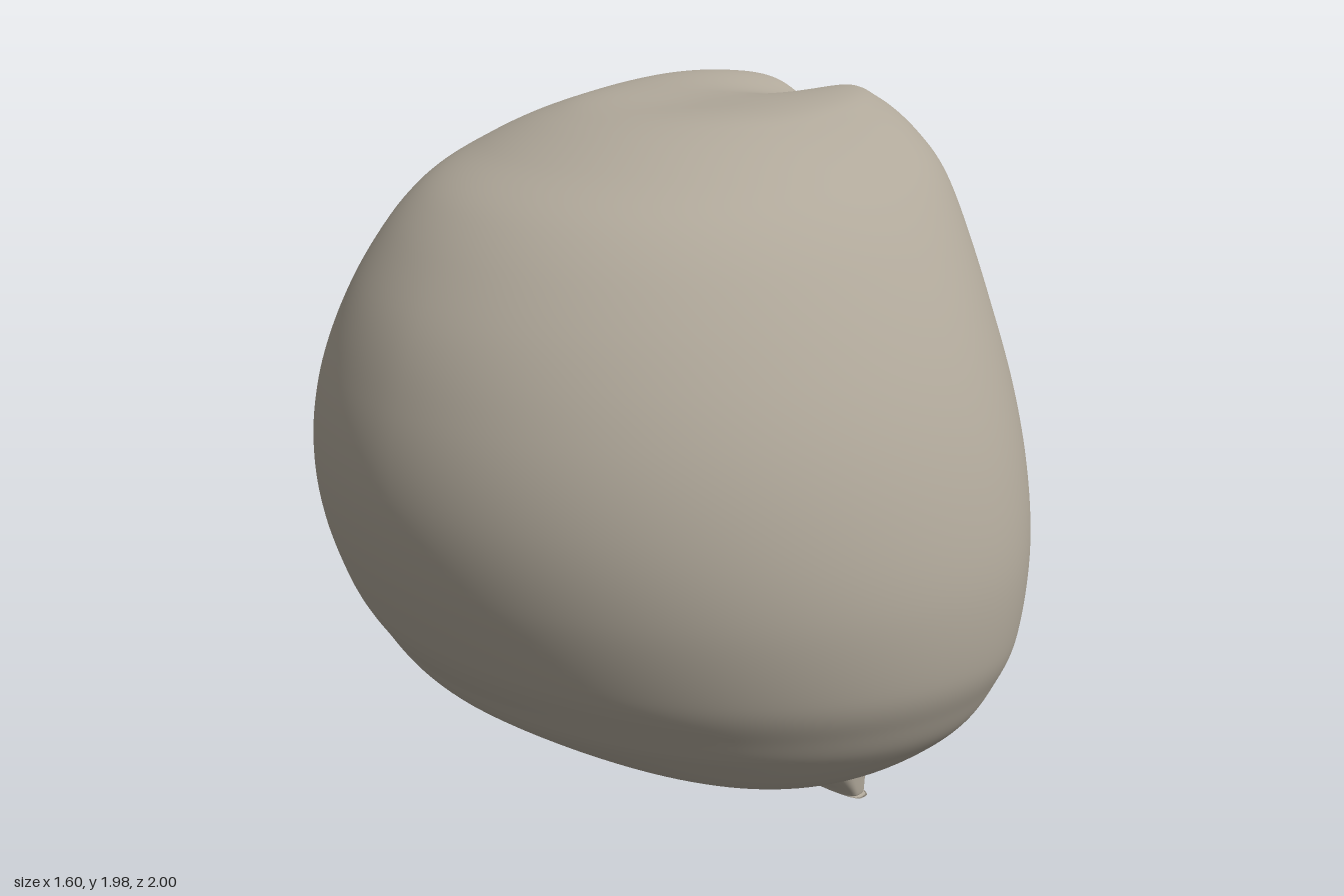
import * as THREE from 'three';

const FRONT = 200, BACK = 64, COLS = FRONT + BACK;
const bone = new THREE.MeshStandardMaterial({ color: 0xb0a89a });
const dark = new THREE.MeshStandardMaterial({ color: 0x040404, side: THREE.DoubleSide });
const smooth = THREE.MathUtils.smoothstep, lerp = THREE.MathUtils.lerp;

const cubic = (a, b, c, d, t) =>
  b + 0.5 * t * (c - a + t * (2 * a - 5 * b + 4 * c - d + t * (3 * (b - c) + d - a)));

// Skull sections, top to bottom: y, back x, front x, half width, x of widest point,
// front x of the cranium without the muzzle
const SKULL = [
  [2.012, 0.3, 0.3, 0, 0.3, 0.3],
  [2.0, 0, 0.58, 0.27, 0.28, 0.58],
  [1.967, -0.17, 0.655, 0.39, 0.25, 0.655],
  [1.9, -0.34, 0.705, 0.515, 0.22, 0.705],
  [1.8, -0.52, 0.75, 0.625, 0.2, 0.75],
  [1.6, -0.69, 0.79, 0.77, 0.17, 0.79],
  [1.4, -0.775, 0.8, 0.88, 0.15, 0.8],
  [1.2, -0.805, 0.797, 0.955, 0.15, 0.797],
  [1.0, -0.78, 0.78, 0.995, 0.15, 0.78],
  [0.8, -0.71, 0.748, 0.99, 0.15, 0.748],
  [0.68, -0.64, 0.765, 0.95, 0.15, 0.725],
  [0.58, -0.565, 0.78, 0.895, 0.15, 0.67],
  [0.48, -0.42, 0.765, 0.79, 0.15, 0.59],
  [0.415, -0.27, 0.745, 0.66, 0.17, 0.55],
  [0.365, -0.06, 0.73, 0.485, 0.26, 0.58],
  [0.31, 0.2, 0.715, 0.445, 0.38, 0.66],
  [0.26, 0.3, 0.7, 0.441, 0.45, 0.695],
  [0.21, 0.315, 0.69, 0.439, 0.47, 0.69],
  [0.18, 0.32, 0.685, 0.437, 0.47, 0.685],
  [0.168, 0.33, 0.675, 0.425, 0.47, 0.675],
  [0.165, 0.35, 0.65, 0.4, 0.47, 0.65],
  [0.165, 0.38, 0.62, 0.36, 0.48, 0.62],
  [0.165, 0.5, 0.5, 0, 0.5, 0.5],
];
const TEETH = [
  [0.22, 0.36, 0.65, 0.368, 0.5, 0.65],
  [0.16, 0.37, 0.65, 0.368, 0.5, 0.65],
  [0.09, 0.42, 0.62, 0.362, 0.51, 0.62],
  [0.03, 0.475, 0.597, 0.358, 0.53, 0.597],
  [0.015, 0.485, 0.59, 0.354, 0.535, 0.59],
  [0.012, 0.495, 0.58, 0.34, 0.54, 0.58],
  [0.012, 0.54, 0.54, 0, 0.54, 0.54],
];

// Recesses: polar radii of the opening and its rim around a centre, and a sloped floor
const EYE = {
  z: 0.32, y: 1.28,
  hole: [0.205, 0.19, 0.195, 0.22, 0.255, 0.29, 0.3, 0.26, 0.235, 0.225, 0.235, 0.25, 0.268, 0.295, 0.275, 0.24],
  rim: [0.47, 0.48, 0.51, 0.57, 0.64, 0.61, 0.38, 0.295, 0.272, 0.295, 0.345, 0.37, 0.4, 0.44, 0.47, 0.47],
  floor: (y, z) => 0.585 - 0.2 * (y - 1.2) - 0.44 * (z - 0.3),
};
const noseHole = [0.147, 0.113, 0.104, 0.118, 0.145, 0.118, 0.104, 0.113, 0.147, 0.137, 0.118, 0.108, 0.105, 0.108, 0.118, 0.137];
const NOSE = {
  z: 0, y: 0.83, hole: noseHole, rim: noseHole.map((r) => r + 0.025),
  floor: (y) => 0.728 + 0.1 * (y - 0.83),
};

function radiusAt(list, angle) {
  const n = list.length, f = ((angle / (2 * Math.PI)) % 1 + 1) % 1 * n, i = Math.floor(f);
  const at = (k) => list[(k + n) % n];
  return cubic(at(i - 1), at(i), at(i + 1), at(i + 2), f - i);
}

function recess(p, pit) {
  const z = Math.abs(p.z) - pit.z, y = p.y - pit.y;
  const angle = Math.atan2(y, z), floor = pit.floor(p.y, Math.abs(p.z));
  if (p.x <= floor) return;
  const s = 1 - smooth(Math.hypot(z, y), radiusAt(pit.hole, angle) * 1.03, radiusAt(pit.rim, angle));
  p.x = lerp(p.x, floor, s);
}

// Head details: sockets, nose, V-shaped valley between the brows and slanted jaw edge
function sculpt(p, front) {
  if (front) {
    p.x -= 0.016 * smooth(p.y, 0.95, 1.15) * Math.exp(-((p.z / 0.028) ** 2)) * smooth(p.x, 0.4, 0.6);
    recess(p, EYE);
    recess(p, NOSE);
  }
  const width = lerp(0.17, 0.08, smooth(p.x, 0.3, 0.75));
  const top = smooth(p.y, 1.7, 1.95);
  p.y -= top * Math.exp(-((p.z / width) ** 2)) * (0.015 * smooth(p.x, -0.2, 0.2) + 0.045 * smooth(p.x, 0.2, 0.6));
  p.y -= 0.022 * top * (1 - smooth(p.x, 0.1, 0.5));
  p.y += 0.14 * (p.x - 0.5) * (1 - smooth(p.y, 0.18, 0.3));
}

// Skin a table of sections; each ring is two half superellipses joined at the widest point
function loft(table, steps, power, shape) {
  const pos = [], index = [], last = table.length - 1, rows = last * steps;
  const p = new THREE.Vector3();
  for (let i = 0; i <= rows; i++) {
    const k = Math.min(Math.floor(i / steps), last - 1), t = i / steps - k;
    const row = (q) => table[Math.min(Math.max(q, 0), last)];
    const [y, xb, xf, w, xw, xc] = table[0].map((_, c) =>
      cubic(row(k - 1)[c], row(k)[c], row(k + 1)[c], row(k + 2)[c], t));
    for (let j = 0; j < COLS; j++) {
      const front = j < FRONT;
      const a = Math.PI * (front ? j / FRONT - 0.5 : 0.5 + (j - FRONT) / BACK);
      const e = 2 / power(y, front), c = Math.abs(Math.cos(a)) ** e;
      const z = w * Math.sign(Math.sin(a)) * Math.abs(Math.sin(a)) ** e;
      const muzzle = 1 - smooth(Math.abs(z), 0.2, 0.6);
      const x = front ? xw + (lerp(xc, xf, muzzle) - xw) * c : xw + (xb - xw) * c;
      p.set(x, y, z);
      if (shape) shape(p, front);
      pos.push(p.x, p.y, p.z);
      if (i < rows) {
        const q = i * COLS + j, r = i * COLS + (j + 1) % COLS;
        index.push(q, r, q + COLS, r, r + COLS, q + COLS);
      }
    }
  }
  const g = new THREE.BufferGeometry();
  g.setAttribute('position', new THREE.Float32BufferAttribute(pos, 3));
  g.setIndex(index);
  g.computeVertexNormals();
  return g;
}

// Dark patch lying on the floor of a recess
function patch(pit, side) {
  const pts = [];
  for (let i = 0; i < 64; i++) {
    const a = (i / 64) * Math.PI * 2, r = radiusAt(pit.hole, a);
    pts.push(new THREE.Vector2(pit.z + r * Math.cos(a), pit.y + r * Math.sin(a)));
  }
  const g = new THREE.ShapeGeometry(new THREE.Shape(pts)), v = g.attributes.position;
  for (let i = 0; i < v.count; i++) {
    const z = v.getX(i), y = v.getY(i);
    v.setXYZ(i, pit.floor(y, z) + 0.006, y, z * side);
  }
  g.computeVertexNormals();
  return g;
}

// Squareness of the head's sections: boxy jaw, round cranium, slightly boxy brow
function headPower(y, front) {
  const crown = smooth(y, 1.5, 1.95);
  return lerp(3, front ? 2.07 + 0.25 * crown : 1.9 + 0.15 * crown, smooth(y, 0.25, 0.6));
}

export function createModel() {
  const model = new THREE.Group();
  model.name = 'skull';
  const add = (name, geometry, material) => {
    const mesh = new THREE.Mesh(geometry, material);
    mesh.name = name;
    model.add(mesh);
  };
  add('cranium', loft(SKULL, 10, headPower, sculpt), bone);
  add('upperTeeth', loft(TEETH, 3, () => 3.2), bone);
  add('leftEyeHole', patch(EYE, 1), dark);
  add('rightEyeHole', patch(EYE, -1), dark);
  add('noseHole', patch(NOSE, 1), dark);
  return model;
}
